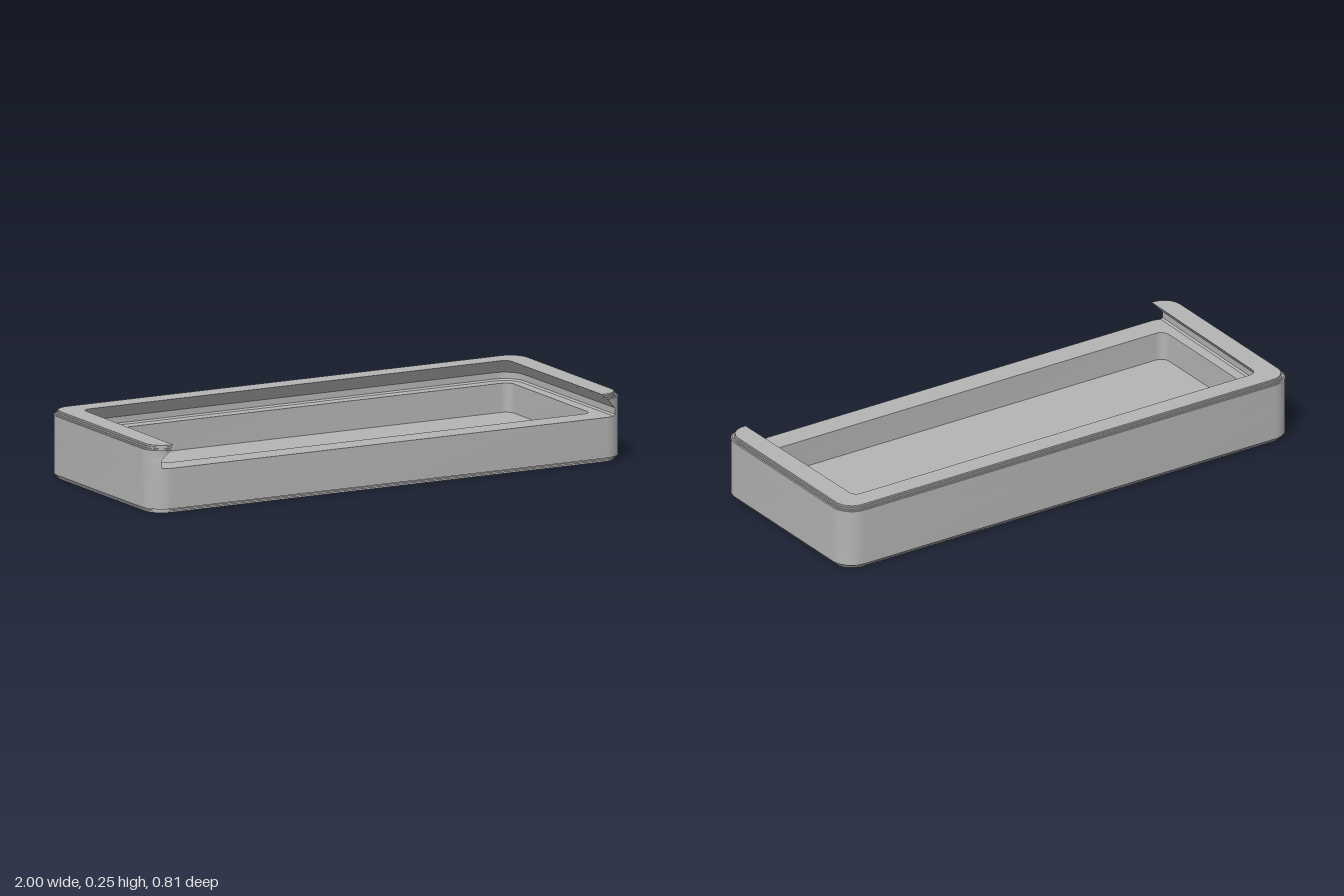
import * as THREE from 'three';
import { toCreasedNormals } from 'three/addons/utils/BufferGeometryUtils.js';

const HX = 1, HZ = 0.405, R = 0.085;          // outer half sizes and corner radius
const SHELF = 0.17, FLOOR = 0.06, TOP = 0.255;
const N = 10;                                  // segments per corner

// Loops are 2D points (x, -z), counter-clockwise seen from above
function arc(cx, cy, r, from, to) {
  return Array.from({ length: N + 1 }, (_, i) => {
    const a = from + (to - from) * i / N;
    return new THREE.Vector2(cx + r * Math.cos(a), cy + r * Math.sin(a));
  });
}

function roundedRect(hx, hy, r) {
  const q = Math.PI / 2, x = hx - r, y = hy - r;
  return [...arc(x, -y, r, -q, 0), ...arc(x, y, r, 0, q),
    ...arc(-x, y, r, q, 2 * q), ...arc(-x, -y, r, 2 * q, 3 * q)];
}

// U-shaped rim outline, open at the front by a slot of half width w
function rimLoop(inset, w) {
  const q = Math.PI / 2, r = R - inset;
  const x = HX - inset - r, y = HZ - inset - r;
  const a = w > x ? Math.acos((w - x) / r) : q;
  const front = -(y + r * Math.sin(a));
  const wb = w - 0.007, back = w - 0.595, ri = w - 0.875;   // slot narrows slightly to the back
  return [
    new THREE.Vector2(w, front),
    ...arc(x, -y, r, -a, 0), ...arc(x, y, r, 0, q),
    ...arc(-x, y, r, q, 2 * q), ...arc(-x, -y, r, 2 * q, 2 * q + a),
    new THREE.Vector2(-w, front),
    ...arc(-wb + ri, back - ri, ri, 2 * q, q), ...arc(wb - ri, back - ri, ri, q, 0),
  ];
}

// Walls through a stack of [height, loop] levels
function loft(levels) {
  const n = levels[0][1].length, pos = [], idx = [];
  for (const [y, loop] of levels) for (const p of loop) pos.push(p.x, y, -p.y);
  for (let l = 0; l < levels.length - 1; l++) {
    for (let i = 0; i < n; i++) {
      const a = l * n + i, b = l * n + (i + 1) % n;
      idx.push(a, b, b + n, a, b + n, a + n);
    }
  }
  const g = new THREE.BufferGeometry();
  g.setAttribute('position', new THREE.Float32BufferAttribute(pos, 3));
  g.setIndex(idx);
  return toCreasedNormals(g, 0.5);
}

// Flat horizontal face at height y
function flat(loop, y, hole, down = false) {
  const s = new THREE.Shape(loop);
  if (hole) s.holes.push(new THREE.Path(hole));
  return new THREE.ShapeGeometry(s).rotateX(down ? Math.PI / 2 : -Math.PI / 2).translate(0, y, 0);
}

export function createModel() {
  const group = new THREE.Group();
  group.name = 'slidingLidTray';
  const grey = new THREE.MeshStandardMaterial({ color: 0xb4b4b4 });
  grey.name = 'plain grey';
  const add = (name, geometry) => {
    const m = new THREE.Mesh(geometry, grey);
    m.name = name;
    group.add(m);
  };

  const outer = (inset) => roundedRect(HX - inset, HZ - inset, R - inset);
  const cavity = roundedRect(0.905, 0.31, 0.035);
  // Small stepped edge: [distance from the end face, inset]
  const steps = [[0, 0.016], [0.006, 0.016], [0.006, 0.011], [0.012, 0.011],
    [0.012, 0.006], [0.017, 0.006], [0.017, 0]];

  // Lower body with stepped bottom edge
  add('outerWall', loft([...steps.map(([d, i]) => [d, outer(i)]), [SHELF, outer(0)]]));
  add('underside', flat(outer(0.016), 0, null, true));
  add('lidShelf', flat(outer(0), SHELF, cavity));

  // Recess
  add('cavityWall', loft([[SHELF, cavity], [FLOOR, cavity]]));
  add('cavityFloor', flat(cavity, FLOOR));

  // Rim with dovetail groove and stepped top edge
  const slot = (y) => 0.957 - 0.052 * Math.max(0, (y - 0.2) / (TOP - 0.2));
  const rim = [[SHELF, rimLoop(0, 0.95)], [0.176, rimLoop(0, 0.957)], [0.2, rimLoop(0, 0.957)]];
  for (const [d, i] of [...steps].reverse()) rim.push([TOP - d, rimLoop(i, slot(TOP - d))]);
  add('grooveRim', loft(rim));
  add('rimTop', flat(rimLoop(0.016, slot(TOP)), TOP));

  return group;
}
